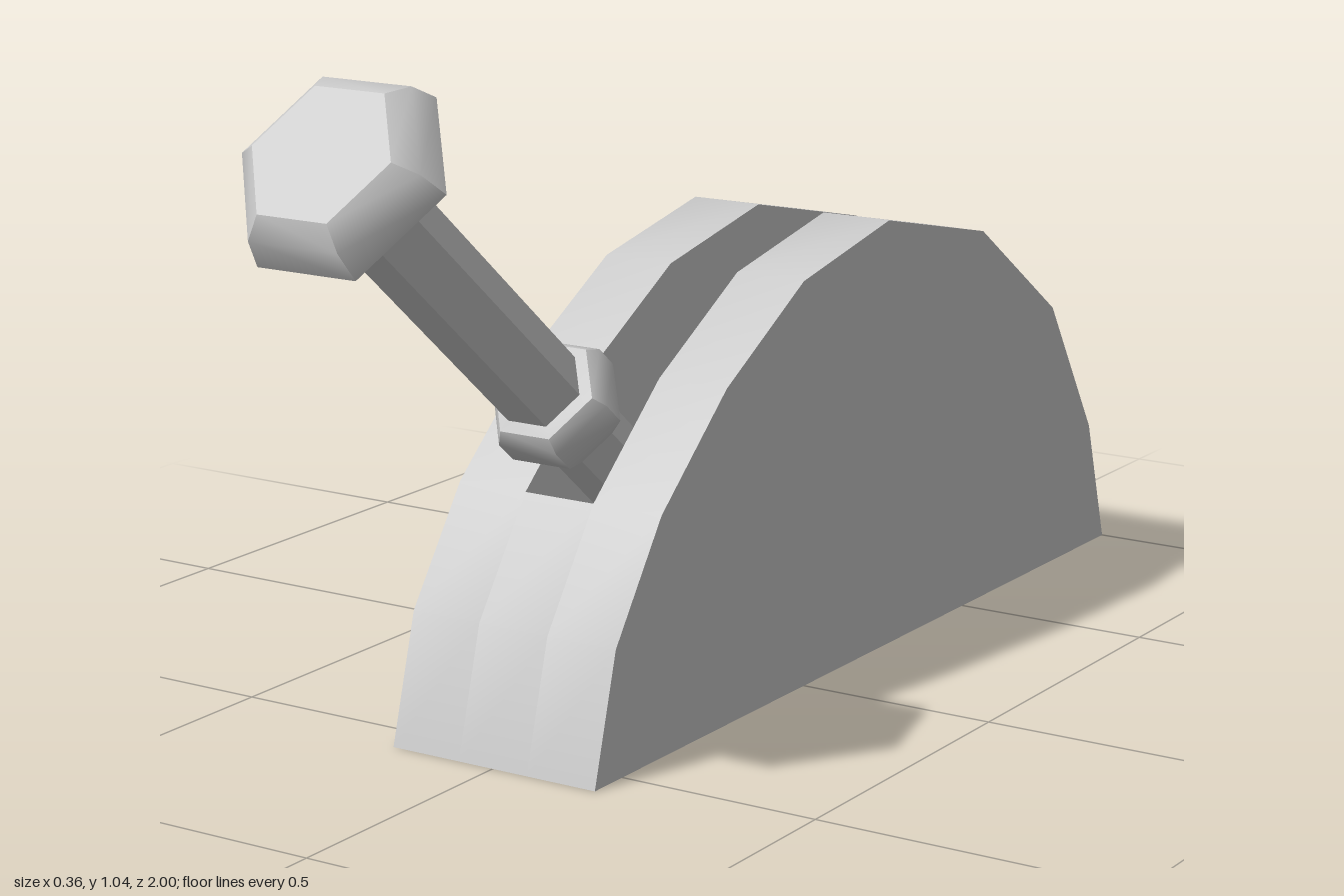
import * as THREE from 'three';
import { toCreasedNormals } from 'three/addons/utils/BufferGeometryUtils.js';

const HALF = 0.178; // half width of the housing
const SLOT = 0.06; // half width of the slot

// Housing outline as [z, y], from the front foot over the top to the back foot
const ARCH = [
  [0.57, 0], [0.515, 0.195], [0.396, 0.364], [0.222, 0.515], [0.007, 0.636],
  [-0.246, 0.686], [-0.55, 0.617], [-0.797, 0.444], [-0.94, 0.21], [-1, 0],
];
const SLOT_FIRST = 2, SLOT_LAST = 7; // outline points where the slot begins and ends
const TROUGH = [ARCH[SLOT_FIRST], [0.34, 0.065], [-0.74, 0.065], ARCH[SLOT_LAST]];

const material = new THREE.MeshStandardMaterial({ color: 0xcccccc, side: THREE.DoubleSide });

function add(group, name, geometry) {
  const mesh = new THREE.Mesh(geometry, material);
  mesh.name = name;
  group.add(mesh);
  return mesh;
}

// Band that sweeps a [z, y] path across x0..x1
function strip(path, x0, x1, crease = 0.6) {
  const pos = [], index = [];
  path.forEach(([z, y], i) => {
    pos.push(x0, y, z, x1, y, z);
    const a = 2 * i;
    if (i < path.length - 1) index.push(a, a + 1, a + 3, a, a + 3, a + 2);
  });
  const g = new THREE.BufferGeometry();
  g.setAttribute('position', new THREE.Float32BufferAttribute(pos, 3));
  g.setIndex(index);
  return toCreasedNormals(g, crease);
}

// Flat panel with a [z, y] outline at x, facing +x or -x
function panel(outline, x, facing) {
  const shape = new THREE.Shape(outline.map(([z, y]) => new THREE.Vector2(-facing * z, y)));
  return new THREE.ShapeGeometry(shape).rotateY(facing * Math.PI / 2).translate(x, 0, 0);
}

// Six-sided turned part from [radius, height] points, corners on the x axis
function hexLathe(profile) {
  const points = profile.map(([r, h]) => new THREE.Vector2(r, h));
  return toCreasedNormals(new THREE.LatheGeometry(points, 6, Math.PI / 2), 0.65);
}

export function createModel() {
  const model = new THREE.Group();
  model.name = 'lever';

  // Hollow housing, open underneath
  const housing = new THREE.Group();
  housing.name = 'housing';
  model.add(housing);
  const slotArc = ARCH.slice(SLOT_FIRST, SLOT_LAST + 1);
  const slotOutline = [...slotArc, TROUGH[2], TROUGH[1]];
  for (const [side, s] of [['left', 1], ['right', -1]]) {
    add(housing, `${side}Side`, panel(ARCH, s * HALF, s));
    add(housing, `${side}Rim`, strip(ARCH, s > 0 ? SLOT : -HALF, s > 0 ? HALF : -SLOT));
    add(housing, `${side}SlotWall`, panel(slotOutline, s * SLOT, -s));
  }
  add(housing, 'frontRim', strip(ARCH.slice(0, SLOT_FIRST + 1), -SLOT, SLOT));
  add(housing, 'backRim', strip(ARCH.slice(SLOT_LAST), -SLOT, SLOT));
  add(housing, 'slotFloor', strip(TROUGH, -SLOT, SLOT, 0.3));

  // Tilted handle; its origin is the middle of the knob's end face
  const handle = new THREE.Group();
  handle.name = 'handle';
  handle.position.set(0, 0.955, 0.935);
  handle.rotation.x = 0.87;
  model.add(handle);
  add(handle, 'lowerRod', hexLathe([[0, -1.185], [0.06, -1.185], [0.06, -0.77]]));
  add(handle, 'collar', hexLathe([
    [0.06, -0.77], [0.1, -0.72], [0.1, -0.675], [0.085, -0.655], [0.066, -0.65],
  ]));
  add(handle, 'upperRod', hexLathe([[0.066, -0.65], [0.066, -0.13]]));
  add(handle, 'knob', hexLathe([
    [0.066, -0.13], [0.163, -0.072], [0.148, -0.025], [0.115, 0], [0, 0],
  ]));
  return model;
}
